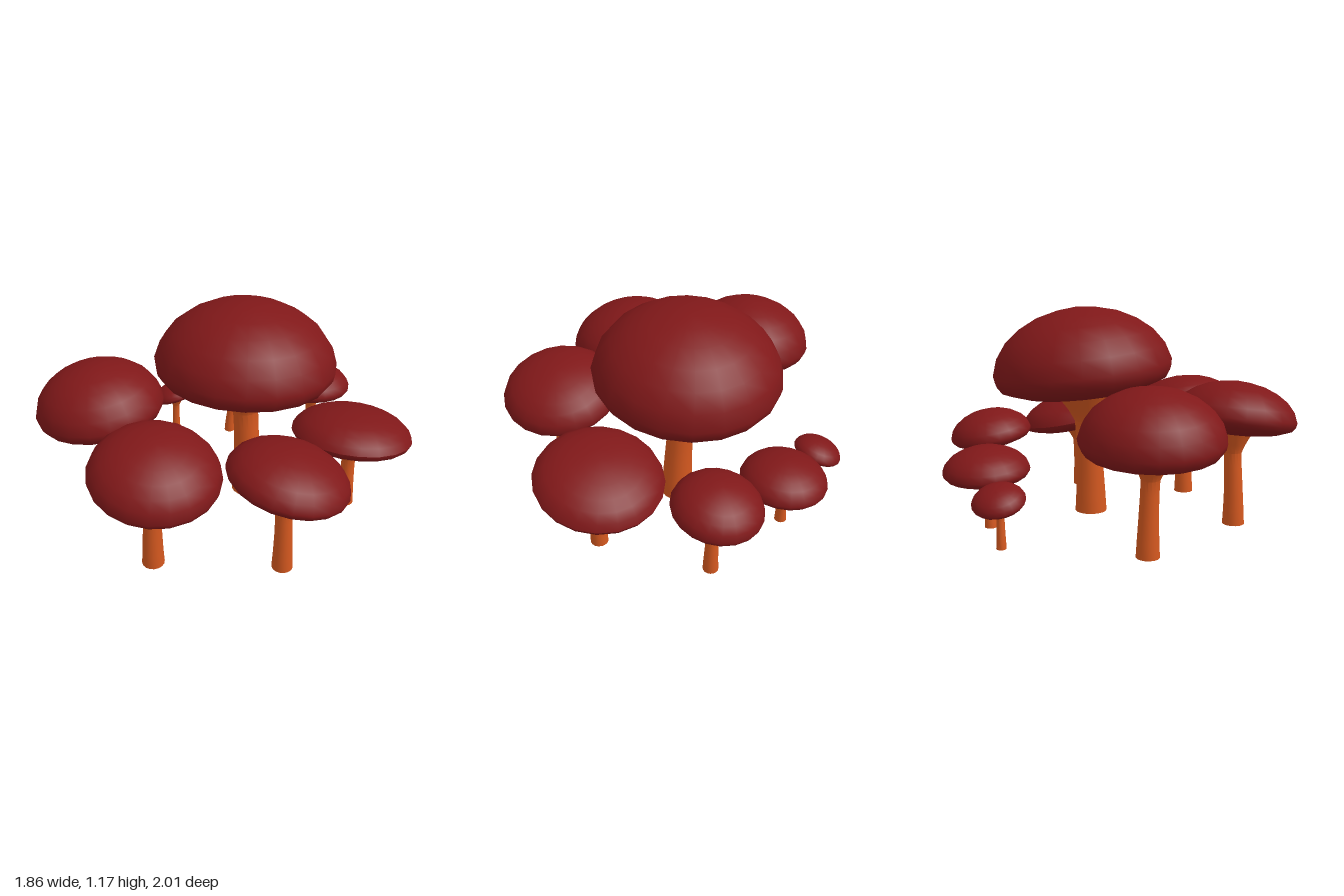
import * as THREE from 'three';
import { toCreasedNormals } from 'three/addons/utils/BufferGeometryUtils.js';

const capMaterial = new THREE.MeshStandardMaterial({ color: 0x801819 });
const stemMaterial = new THREE.MeshStandardMaterial({ color: 0xd4581f, side: THREE.DoubleSide });

// Cap outline for radius 1 and height 1: bulging underside (scaled by radius), then rounded rim and dome
const BELLY = 0.14;
const UNDERSIDE = [[0, -BELLY], [0.35, -BELLY * 0.95], [0.7, -BELLY * 0.6], [0.93, 0]];
const DOME = [[0.985, 0.1], [1, 0.2], [0.94, 0.42], [0.82, 0.62], [0.65, 0.78], [0.45, 0.9], [0.22, 0.97], [0, 1]];

// cap: rim centre, radius, height; slope: rise of the rim along x and z; base: stem foot and radius
const MUSHROOMS = [
  { name: 'giantMushroom', cap: [0.03, 0.75, -0.165], r: 0.5, h: 0.42, slope: [0.03, 0.095], base: [0.075, -0.142, 0.09] },
  { name: 'frontRightMushroom', cap: [-0.57, 0.535, 0.365], r: 0.358, h: 0.3, slope: [0.11, -0.03], base: [-0.58, 0.35, 0.06] },
  { name: 'frontMushroom', cap: [0.075, 0.54, 0.66], r: 0.339, h: 0.245, slope: [-0.17, -0.06], base: [0.055, 0.68, 0.06] },
  { name: 'frontLeftMushroom', cap: [0.605, 0.525, 0.275], r: 0.32, h: 0.2, slope: [-0.13, 0.21], base: [0.617, 0.295, 0.057] },
  { name: 'backLeftMushroom', cap: [0.595, 0.425, -0.4], r: 0.335, h: 0.175, slope: [0.06, 0.21], base: [0.608, -0.375, 0.048] },
  { name: 'backMushroom', cap: [0.105, 0.385, -0.765], r: 0.237, h: 0.17, slope: [0.11, 0.12], base: [0.13, -0.77, 0.041] },
  { name: 'backRightMushroom', cap: [-0.35, 0.285, -0.595], r: 0.235, h: 0.155, slope: [0.1, 0], base: [-0.37, -0.57, 0.033] },
  { name: 'tinyMushroom', cap: [-0.67, 0.232, -0.385], r: 0.137, h: 0.093, slope: [0.36, 0], base: [-0.668, -0.38, 0.026] },
];

function lathe(points, sides) {
  return new THREE.LatheGeometry(points.map(([x, y]) => new THREE.Vector2(x, y)), sides);
}

// Dome tilted to follow the slope of its rim
function makeCap({ cap, r, h, slope }) {
  const profile = [...UNDERSIDE.map(([x, y]) => [x * r, y * r]), ...DOME.map(([x, y]) => [x * r, y * h])];
  const mesh = new THREE.Mesh(toCreasedNormals(lathe(profile, 20), 0.75), capMaterial);
  const normal = new THREE.Vector3(-slope[0], 1, -slope[1]).normalize();
  mesh.quaternion.setFromUnitVectors(new THREE.Vector3(0, 1, 0), normal);
  mesh.position.set(...cap);
  mesh.name = 'cap';
  return mesh;
}

// Waisted stem, open at the foot, with a flared collar that tilts with the cap
function makeStem({ cap, r, slope, base }) {
  const [bx, bz, b] = base;
  const top = cap[1] - BELLY * r * 0.85;
  const neck = top - 1.75 * b;
  const geometry = lathe([[b, 0], [b * 0.93, neck * 0.2], [b * 0.84, neck * 0.5],
    [b * 0.79, neck * 0.8], [b * 0.8, neck], [b * 1.15, neck + b * 0.75], [b * 1.75, top]], 16);
  // lean from the foot to the centre of the underside
  const dx = cap[0] + slope[0] * BELLY * r - bx;
  const dz = cap[2] + slope[1] * BELLY * r - bz;
  const p = geometry.attributes.position;
  for (let i = 0; i < p.count; i++) {
    const x = p.getX(i), y = p.getY(i), z = p.getZ(i), t = y / top;
    p.setXYZ(i, bx + x + dx * t * t, y + (slope[0] * x + slope[1] * z) * t ** 4, bz + z + dz * t * t);
  }
  const mesh = new THREE.Mesh(toCreasedNormals(geometry, 0.5), stemMaterial);
  mesh.name = 'stem';
  return mesh;
}

export function createModel() {
  const model = new THREE.Group();
  model.name = 'mushroomCluster';
  for (const spec of MUSHROOMS) {
    const mushroom = new THREE.Group();
    mushroom.name = spec.name;
    mushroom.add(makeStem(spec), makeCap(spec));
    model.add(mushroom);
  }
  return model;
}
